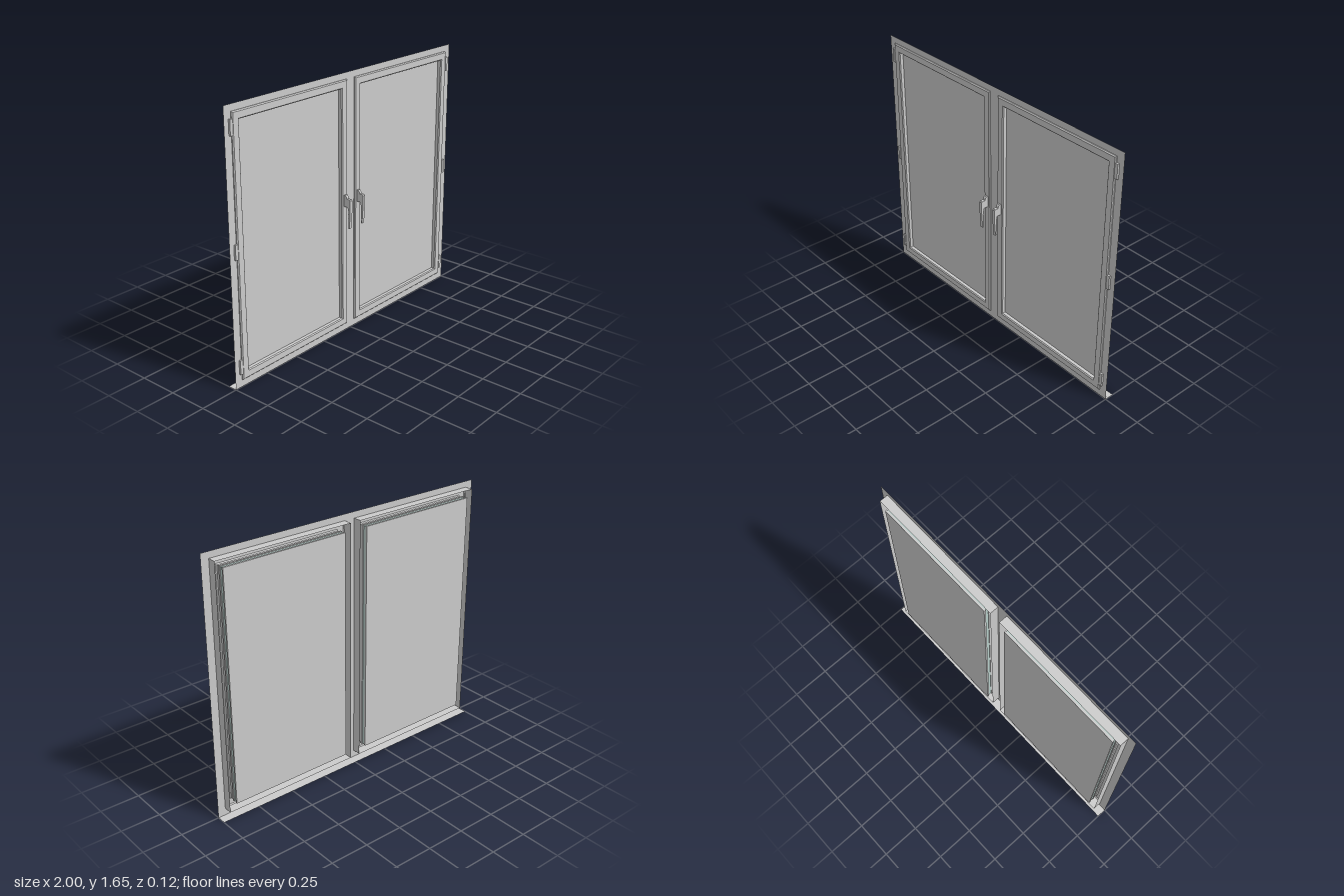
import * as THREE from 'three';

const grey = new THREE.MeshStandardMaterial({ color: 0xcccccc, flatShading: true, side: THREE.DoubleSide });
const spacerTint = new THREE.MeshStandardMaterial({ color: 0xb9cfca, flatShading: true });

function add(parent, name, geometry, material = grey) {
  const mesh = new THREE.Mesh(geometry, material);
  mesh.name = name;
  parent.add(mesh);
  return mesh;
}

function box(parent, name, [x0, x1], [y0, y1], [z0, z1], material) {
  const g = new THREE.BoxGeometry(x1 - x0, y1 - y0, z1 - z0);
  g.translate((x0 + x1) / 2, (y0 + y1) / 2, (z0 + z1) / 2);
  return add(parent, name, g, material);
}

// Skin through nested rectangles, each given as [inset, z] from the base rectangle
function rectLoft([x0, x1, y0, y1], steps) {
  const pos = [], index = [];
  for (const [d, z] of steps) {
    pos.push(x0 + d, y0 + d, z, x1 - d, y0 + d, z, x1 - d, y1 - d, z, x0 + d, y1 - d, z);
  }
  for (let i = 0; i < steps.length - 1; i++) {
    for (let k = 0; k < 4; k++) {
      const a = i * 4 + k, b = i * 4 + (k + 1) % 4;
      index.push(a, b, b + 4, a, b + 4, a + 4);
    }
  }
  const g = new THREE.BufferGeometry();
  g.setAttribute('position', new THREE.Float32BufferAttribute(pos, 3));
  g.setIndex(index);
  const flat = g.toNonIndexed();
  flat.computeVertexNormals();
  return flat;
}

function rectPath(path, x0, x1, y0, y1) {
  path.moveTo(x0, y0).lineTo(x1, y0).lineTo(x1, y1).lineTo(x0, y1).closePath();
  return path;
}

// Lever profile in (z, y), with finger grooves on its inner edge
function handleGeometry(width) {
  const s = new THREE.Shape();
  s.moveTo(0.011, 0.84);
  s.lineTo(0.036, 0.84);
  s.quadraticCurveTo(0.043, 0.838, 0.042, 0.825);
  for (let i = 0; i < 4; i++) {
    const y = 0.825 - i * 0.028;
    s.quadraticCurveTo(0.049, y - 0.012, 0.043 + i * 0.001, y - 0.028);
  }
  s.lineTo(0.047, 0.705);
  s.lineTo(0.053, 0.705);
  s.lineTo(0.06, 0.81);
  s.lineTo(0.06, 0.885);
  s.lineTo(0.055, 0.892);
  s.lineTo(0.033, 0.892);
  s.quadraticCurveTo(0.031, 0.908, 0.022, 0.913);
  s.lineTo(0.011, 0.913);
  s.closePath();
  const g = new THREE.ExtrudeGeometry(s, { depth: width, bevelEnabled: false, curveSegments: 5 });
  g.translate(0, 0, -width / 2);
  g.rotateY(-Math.PI / 2); // profile x becomes z
  return g;
}

export function createModel() {
  const model = new THREE.Group();
  model.name = 'doubleWindow';
  const Y = [0.045, 1.615];

  // Flat surround with one opening per sash
  const surround = rectPath(new THREE.Shape(), -1, 1, 0, 1.655);
  for (const [x0, x1] of [[-0.95, -0.035], [0.035, 0.95]]) {
    surround.holes.push(rectPath(new THREE.Path(), x0, x1, ...Y));
  }
  add(model, 'frame', new THREE.ShapeGeometry(surround));

  // Thin sill running back along the bottom
  const sill = new THREE.PlaneGeometry(2, 0.06);
  sill.rotateX(-Math.PI / 2).translate(0, 0, -0.03);
  add(model, 'sill', sill);

  for (const side of [-1, 1]) {
    const sash = new THREE.Group();
    sash.name = side > 0 ? 'leftSash' : 'rightSash';
    model.add(sash);
    const X = side > 0 ? [0.035, 0.95] : [-0.95, -0.035];

    // Hollow casement: outer wall, front face, recess to the glass
    add(sash, 'casement', rectLoft([...X, ...Y], [
      [0, -0.055], [0, 0.005], [0.006, 0.011], [0.044, 0.011], [0.05, 0.005], [0.05, -0.016],
    ]));

    // Double glazing: two panes around an inset spacer
    const inset = ([a, b], d) => [a + d, b - d];
    box(sash, 'innerPane', inset(X, 0.045), inset(Y, 0.045), [-0.028, -0.016]);
    box(sash, 'spacer', inset(X, 0.049), inset(Y, 0.049), [-0.048, -0.028], spacerTint);
    box(sash, 'outerPane', inset(X, 0.045), inset(Y, 0.045), [-0.06, -0.048]);

    // Lever handle by the meeting stile
    add(sash, 'handle', handleGeometry(0.019)).position.x = side * 0.06;

    // Hinges on the outer stile
    for (const y of [0.13, 0.833, 1.532]) {
      const xs = side > 0 ? [0.948, 0.968] : [-0.968, -0.948];
      box(sash, 'hinge', xs, [y - 0.045, y + 0.045], [0, 0.012]);
    }
  }
  return model;
}
